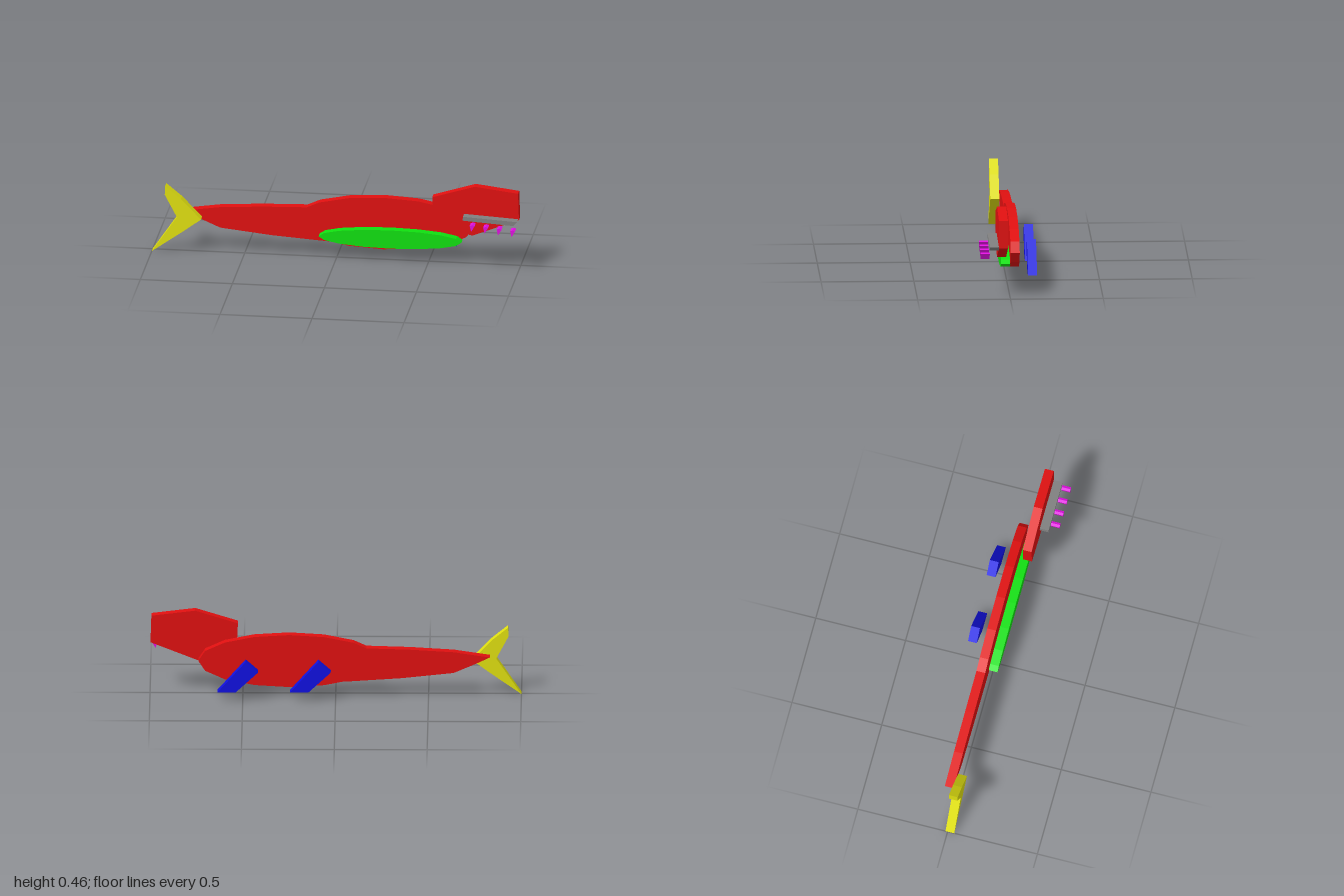
import * as THREE from 'three';

const paint = (name, color) => {
  const m = new THREE.MeshStandardMaterial({ color });
  m.name = name;
  return m;
};

const THICK = 0.049;

export function createModel() {
  const model = new THREE.Group();
  const red = paint('red', 0xe01010);
  const green = paint('green', 0x10e010);
  const yellow = paint('yellow', 0xe0e010);
  const blue = paint('blue', 0x1010e0);
  const grey = paint('grey', 0x808080);
  const magenta = paint('magenta', 0xe010e0);

  // Flat slab cut from an outline, its back face at z
  const slab = (name, points, z, material) => {
    const shape = new THREE.Shape(points.map(([x, y]) => new THREE.Vector2(x, y)));
    const geo = new THREE.ExtrudeGeometry(shape, { depth: THICK, bevelEnabled: false });
    const mesh = new THREE.Mesh(geo, material);
    mesh.name = name;
    mesh.position.z = z;
    model.add(mesh);
  };

  // Sixteen-sided oval outline
  const oval = (cx, cy, rx, ry) => Array.from({ length: 16 }, (_, i) => {
    const a = (i / 16) * Math.PI * 2;
    return [cx + rx * Math.cos(a), cy + ry * Math.sin(a)];
  });

  // Body layer: torso and tapering tail
  slab('torso', oval(0.25, 0.199, 0.49, 0.147), -0.061, red);
  slab('tail', [
    [-0.83, 0.222], [-0.755, 0.186], [-0.635, 0.134], [-0.355, 0.104], [-0.045, 0.083],
    [0.0, 0.2], [-0.165, 0.272], [-0.4, 0.265], [-0.635, 0.251],
  ], -0.061, red);

  // Belly and forked tail fin
  slab('belly', oval(0.294, 0.127, 0.388, 0.052), -0.012, green);
  slab('tailFin', [
    [-1, 0], [-0.83, 0.12], [-0.733, 0.192], [-0.842, 0.305], [-0.928, 0.375], [-0.93, 0.325], [-0.864, 0.2],
  ], -0.012, yellow);

  // Head
  slab('head', [
    [0.535, 0.22], [0.745, 0.18], [0.998, 0.28], [0.993, 0.43], [0.757, 0.459], [0.527, 0.388],
  ], 0.013, red);

  // Jaw and teeth
  slab('jaw', [[0.698, 0.28], [0.972, 0.262], [0.993, 0.285], [0.7, 0.302]], 0.062, grey);
  for (let i = 0; i < 4; i++) {
    const x = 0.743 + i * 0.0733;
    const y = 0.273 - i * 0.0065;
    slab('tooth', [[x, y - 0.004], [x + 0.008, y - 0.038], [x + 0.027, y - 0.005], [x + 0.014, y]], 0.111, magenta);
  }

  // Slanted legs behind the body
  for (const dx of [0, -0.391]) {
    slab('leg', [
      [0.537 + dx, 0.053], [0.636 + dx, 0.053], [0.484 + dx, 0.224], [0.417 + dx, 0.165],
    ], -0.159, blue);
  }

  return model;
}
